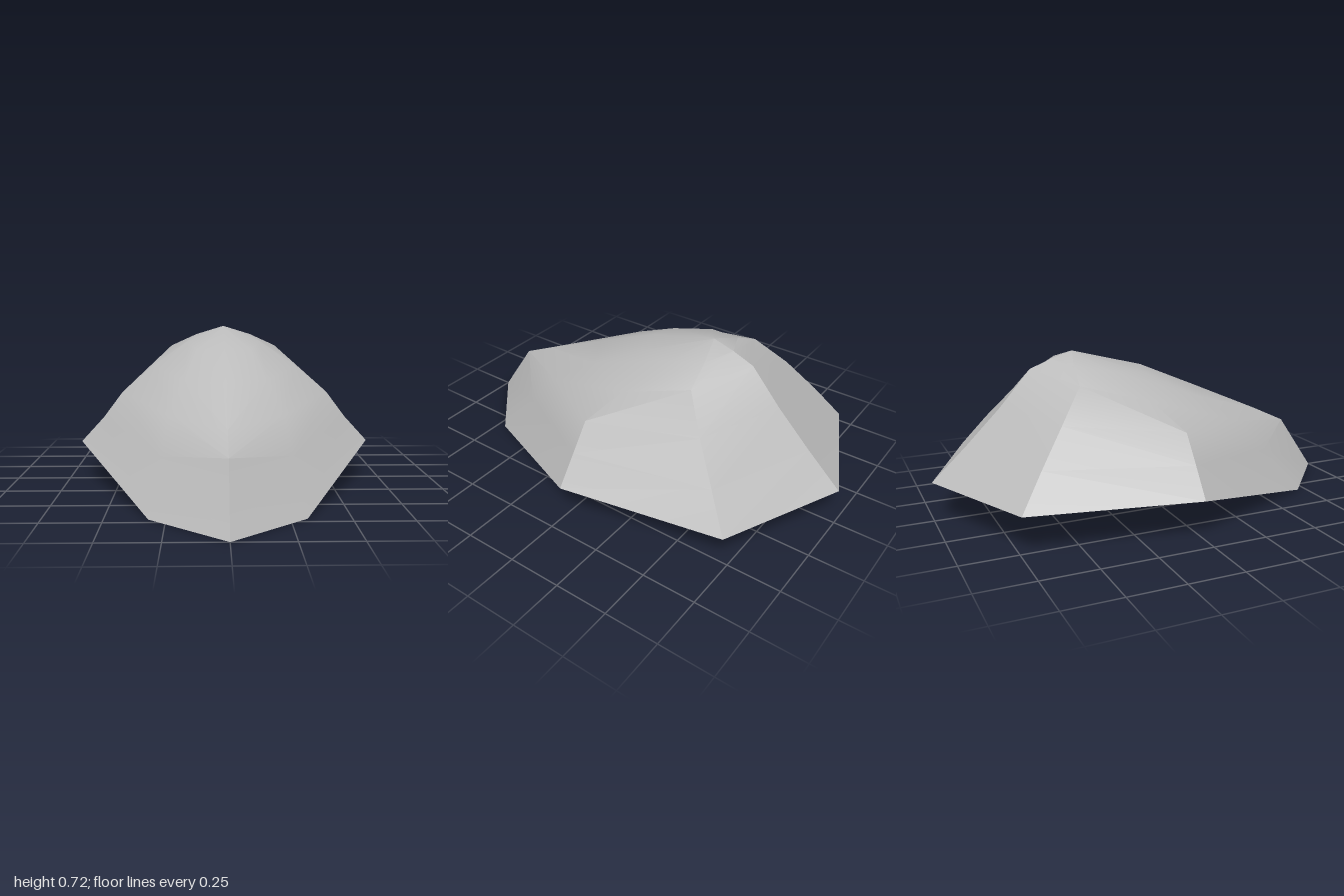
import * as THREE from 'three';
import { toCreasedNormals } from 'three/addons/utils/BufferGeometryUtils.js';

// Ribs of the shell from rim to crown, front to back along the left half
const PEAK = [0, 0.72, -0.34];
const RIBS = [
  [[0, 0, 1], [0, 0.27, 0.81], [0, 0.35, 0.64], [0, 0.5, 0.3], [0, 0.63, 0]],
  [[0.32, 0, 0.71], [0.28, 0.22, 0.53], [0.25, 0.37, 0.4], [0.19, 0.5, 0.2], [0.13, 0.62, -0.04]],
  [[0.69, 0.18, -0.01], [0.58, 0.3, 0], [0.49, 0.42, 0], [0.35, 0.535, -0.1], [0.18, 0.65, -0.22]],
  [[0.55, 0.18, -0.75], [0.47, 0.33, -0.64], [0.38, 0.48, -0.52], [0.27, 0.615, -0.4], [0.14, 0.675, -0.38]],
  [[0, 0.18, -1], [0, 0.33, -0.84], [0, 0.49, -0.68], [0, 0.65, -0.54], [0, 0.69, -0.44]],
];

// Skin neighbouring ribs with quads and close them on the peak
function shellGeometry() {
  const mirrored = RIBS.slice(1, -1).reverse().map((rib) => rib.map(([x, y, z]) => [-x, y, z]));
  const ribs = [...RIBS, ...mirrored];
  const levels = RIBS[0].length;
  const positions = [];
  const tri = (a, b, c) => positions.push(...a, ...b, ...c);
  ribs.forEach((a, i) => {
    const b = ribs[(i + 1) % ribs.length];
    const leftHalf = i < 4;
    for (let j = 0; j < levels - 1; j++) {
      // diagonals mirror across the centre line
      if (leftHalf) {
        tri(a[j], b[j], b[j + 1]);
        tri(a[j], b[j + 1], a[j + 1]);
      } else {
        tri(a[j], b[j], a[j + 1]);
        tri(b[j], b[j + 1], a[j + 1]);
      }
    }
    tri(a[levels - 1], b[levels - 1], PEAK);
  });
  const geometry = new THREE.BufferGeometry();
  geometry.setAttribute('position', new THREE.Float32BufferAttribute(positions, 3));
  return toCreasedNormals(geometry, 0.52);
}

export function createModel() {
  const group = new THREE.Group();
  group.name = 'facetedShell';

  // Open shell, visible inside and out
  const gray = new THREE.MeshStandardMaterial({ color: 0xbcbcbc, side: THREE.DoubleSide });
  gray.name = 'light gray';
  const shell = new THREE.Mesh(shellGeometry(), gray);
  shell.name = 'shell';
  group.add(shell);
  return group;
}
